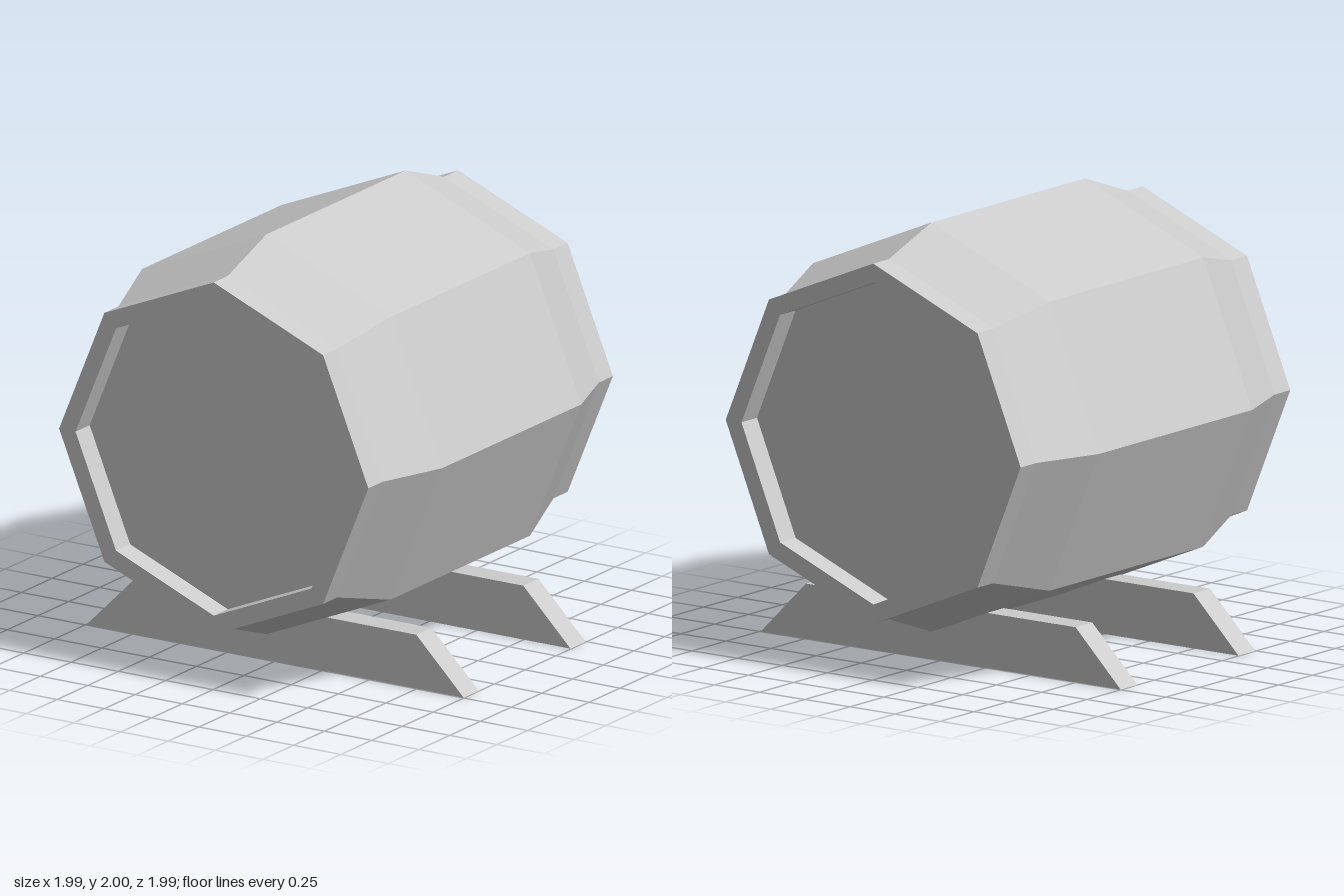
import * as THREE from 'three';

const material = new THREE.MeshStandardMaterial({ color: 0xcccccc, flatShading: true });

function addMesh(parent, name, geometry) {
  const mesh = new THREE.Mesh(geometry, material);
  mesh.name = name;
  parent.add(mesh);
  return mesh;
}

export function createModel() {
  const model = new THREE.Group();
  model.name = 'barrelOnStand';

  // Eight-sided barrel lying along z, with a recessed lid at each end
  const half = [[0, 0.88], [0.73, 0.88], [0.73, 0.995], [0.817, 0.995], [0.817, 0.88], [0.928, 0.567]];
  const profile = [
    ...half.map(([r, z]) => new THREE.Vector2(r, -z)),
    ...half.slice().reverse().map(([r, z]) => new THREE.Vector2(r, z)),
  ];
  const barrel = new THREE.LatheGeometry(profile, 8);
  barrel.rotateX(-Math.PI / 2);
  addMesh(model, 'barrel', barrel).position.y = 1.072;

  // Two trapezoid cradle beams running across under the barrel
  const beam = new THREE.Shape([
    new THREE.Vector2(-0.997, 0),
    new THREE.Vector2(0.997, 0),
    new THREE.Vector2(0.747, 0.25),
    new THREE.Vector2(-0.747, 0.25),
  ]);
  const thickness = 0.123;
  const beamGeometry = new THREE.ExtrudeGeometry(beam, { depth: thickness, bevelEnabled: false });
  beamGeometry.translate(0, 0, -thickness / 2);
  for (const [name, z] of [['frontBeam', 0.435], ['backBeam', -0.435]]) {
    addMesh(model, name, beamGeometry).position.z = z;
  }

  return model;
}
